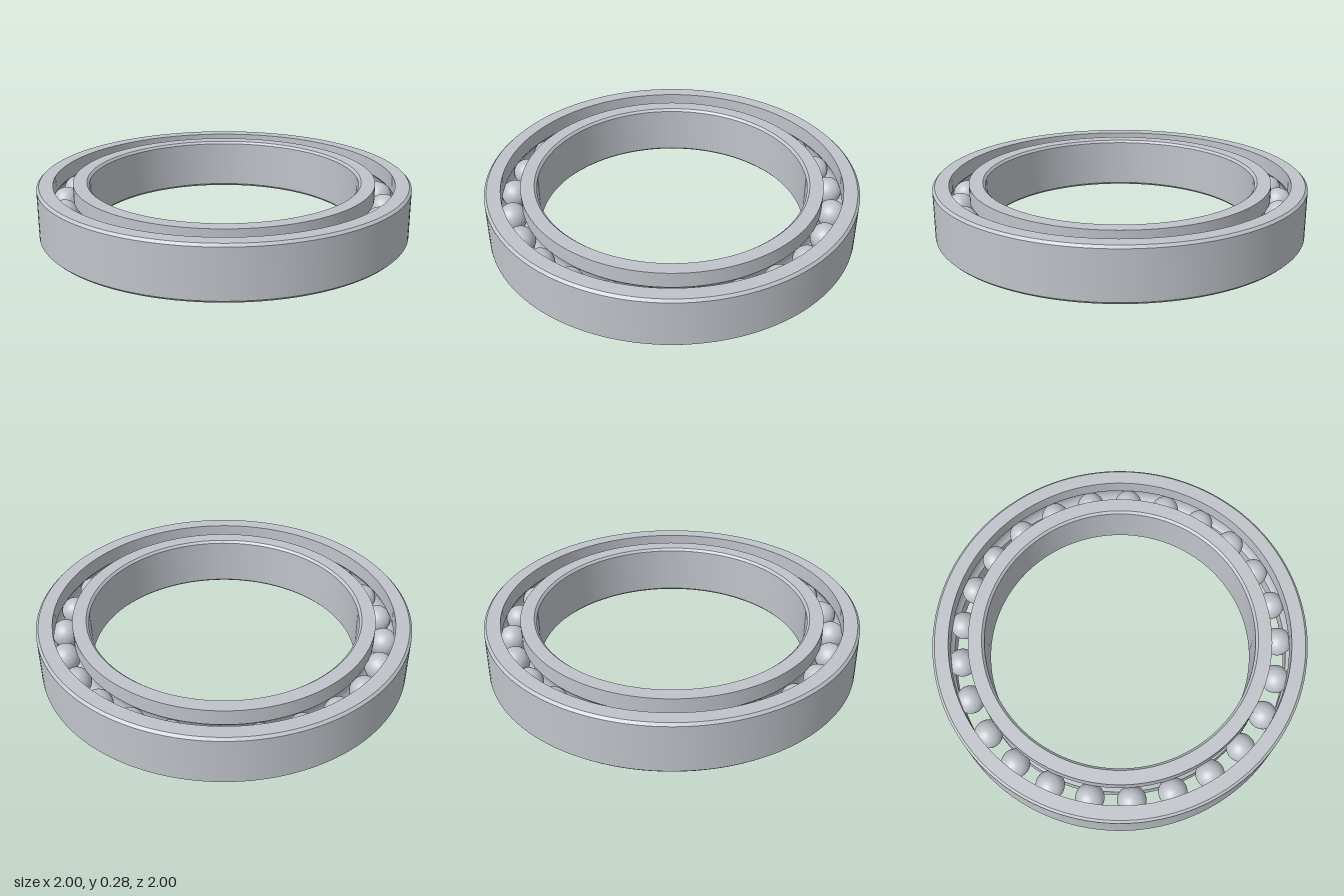
import * as THREE from 'three';
import { toCreasedNormals } from 'three/addons/utils/BufferGeometryUtils.js';

const H = 0.285;          // ring height
const MID = H / 2;
const PITCH = 0.862;      // radius of the ball circle
const BALL_R = 0.076;
const BALLS = 25;
const CHAMFER = 0.013;

// Points of the ball groove, cut into the shoulder at radius r
function groove(r) {
  const gr = BALL_R + 0.0008;
  const side = Math.sign(r - PITCH);
  const half = Math.acos(Math.abs(r - PITCH) / gr);
  const pts = [];
  for (let i = 0; i <= 12; i++) {
    const a = -half + (2 * half * i) / 12;
    pts.push([PITCH + side * gr * Math.cos(a), MID + gr * Math.sin(a)]);
  }
  return pts;
}

// Revolve a closed, counter-clockwise profile
function ring(name, profile, material) {
  const pts = [...profile, profile[0]].map(([x, y]) => new THREE.Vector2(x, y));
  const geo = toCreasedNormals(new THREE.LatheGeometry(pts, 128), 0.4);
  const mesh = new THREE.Mesh(geo, material);
  mesh.name = name;
  return mesh;
}

export function createModel() {
  const model = new THREE.Group();
  model.name = 'ballBearing';
  const steel = new THREE.MeshStandardMaterial({ color: 0xc0c4ca });
  steel.name = 'steel';

  // Outer race: chamfered outside, grooved inside
  const ro = 1, so = 0.914;
  model.add(ring('outerRace', [
    [so, 0], [ro - CHAMFER, 0], [ro, CHAMFER],
    [ro, H - CHAMFER], [ro - CHAMFER, H], [so, H],
    ...groove(so).reverse(),
  ], steel));

  // Inner race: grooved outside, chamfered bore
  const ri = 0.724, si = 0.81;
  model.add(ring('innerRace', [
    [ri + CHAMFER, 0], [si, 0], ...groove(si),
    [si, H], [ri + CHAMFER, H], [ri, H - CHAMFER], [ri, CHAMFER],
  ], steel));

  // Balls, the first one on +x
  const balls = new THREE.Group();
  balls.name = 'balls';
  const ballGeo = new THREE.SphereGeometry(BALL_R, 32, 20);
  for (let i = 0; i < BALLS; i++) {
    const a = (i / BALLS) * Math.PI * 2;
    const ball = new THREE.Mesh(ballGeo, steel);
    ball.name = 'ball';
    ball.position.set(PITCH * Math.cos(a), MID, PITCH * Math.sin(a));
    balls.add(ball);
  }
  model.add(balls);
  return model;
}
